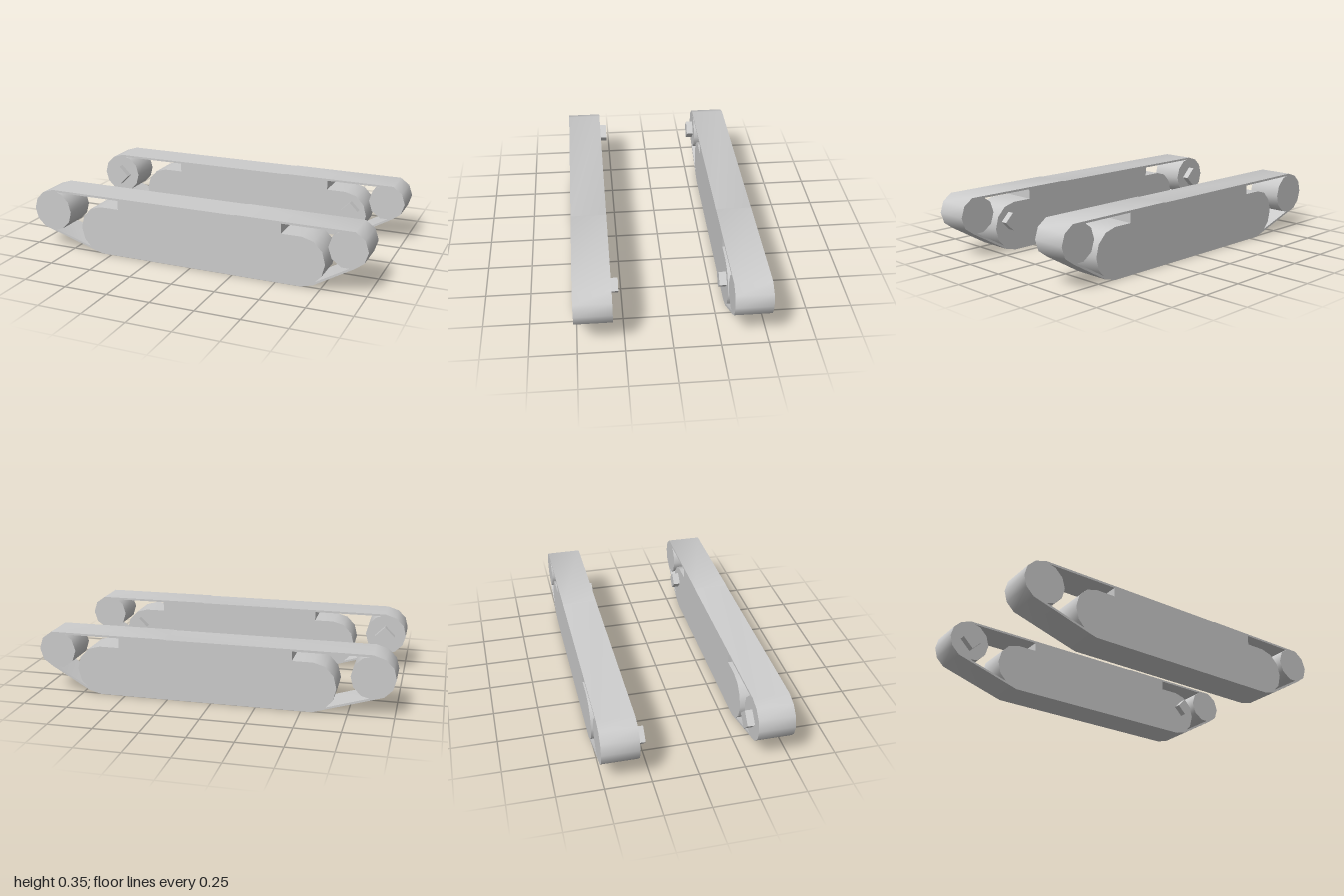
import * as THREE from 'three';
import { toCreasedNormals } from 'three/addons/utils/BufferGeometryUtils.js';

const WIDTH = 0.2;    // track width along z
const CENTRE = 0.41;  // track centre distance from the middle plane
const REAR = { x: -0.88, y: 0.22, r: 0.12, sides: 12 };
const LEAD = { x: 0.893, y: 0.246, r: 0.107, sides: 10 };

const material = new THREE.MeshStandardMaterial({ color: 0xcccccc });

// Points on an arc, angles in degrees, counter-clockwise
function arc(x, y, rx, ry, from, to, steps) {
  const points = [];
  for (let i = 0; i <= steps; i++) {
    const a = THREE.MathUtils.degToRad(from + ((to - from) * i) / steps);
    points.push(new THREE.Vector2(x + rx * Math.cos(a), y + ry * Math.sin(a)));
  }
  return points;
}

// Belt outline, shrunk inwards by t
function beltOutline(t) {
  const v = (x, y) => new THREE.Vector2(x, y);
  return [
    v(-0.56, t), v(0.64, t), v(0.71 - t * 0.3, 0.018 + t),
    ...arc(LEAD.x, LEAD.y, LEAD.r - t, LEAD.r - t, -72, 72, 4),
    v(0.27, 0.349 - t), v(0.26, 0.346 - t), v(-0.875, 0.345 - t),
    ...arc(REAR.x, REAR.y, REAR.r - t, REAR.r - t, 120, 240, 4),
    v(-0.62, 0.018 + t),
  ];
}

function extrude(shape) {
  const geometry = new THREE.ExtrudeGeometry(shape, { depth: WIDTH, bevelEnabled: false });
  geometry.translate(0, 0, -WIDTH / 2);
  return toCreasedNormals(geometry, 0.65);
}

function add(parent, geometry, name) {
  const mesh = new THREE.Mesh(geometry, material);
  mesh.name = name;
  parent.add(mesh);
  return mesh;
}

function createTrack(side) {
  const track = new THREE.Group();
  track.name = side > 0 ? 'frontTrack' : 'backTrack';
  track.position.z = side * CENTRE;

  // Thin closed belt
  const belt = new THREE.Shape(beltOutline(0));
  belt.holes.push(new THREE.Path(beltOutline(0.012)));
  add(track, extrude(belt), 'belt');

  // Central body with rounded ends, stepped up to meet the belt
  const body = new THREE.Shape([
    ...arc(0.64, 0.143, 0.133, 0.138, -90, 90, 6),
    new THREE.Vector2(0.527, 0.281), new THREE.Vector2(0.527, 0.34),
    new THREE.Vector2(-0.447, 0.34), new THREE.Vector2(-0.447, 0.281),
    ...arc(-0.56, 0.143, 0.128, 0.138, 90, 270, 6),
  ]);
  add(track, extrude(body), 'body');

  // End wheels
  for (const [name, w] of [['rearWheel', REAR], ['leadWheel', LEAD]]) {
    const disc = new THREE.Shape(arc(w.x, w.y, w.r, w.r, 0, 360 - 360 / w.sides, w.sides - 1));
    add(track, extrude(disc), name);
  }

  // Square axle stubs on the inner face
  for (const [name, x, y, r] of [['rearAxle', -0.877, 0.216, 0.06], ['leadAxle', 0.681, 0.179, 0.051]]) {
    const geometry = toCreasedNormals(new THREE.CylinderGeometry(r, r, 0.05, 4), 0.5);
    geometry.rotateX(Math.PI / 2);
    add(track, geometry, name).position.set(x, y, -side * (WIDTH / 2 + 0.015));
  }
  return track;
}

export function createModel() {
  const model = new THREE.Group();
  model.name = 'trackPair';
  for (const side of [1, -1]) model.add(createTrack(side));
  return model;
}
